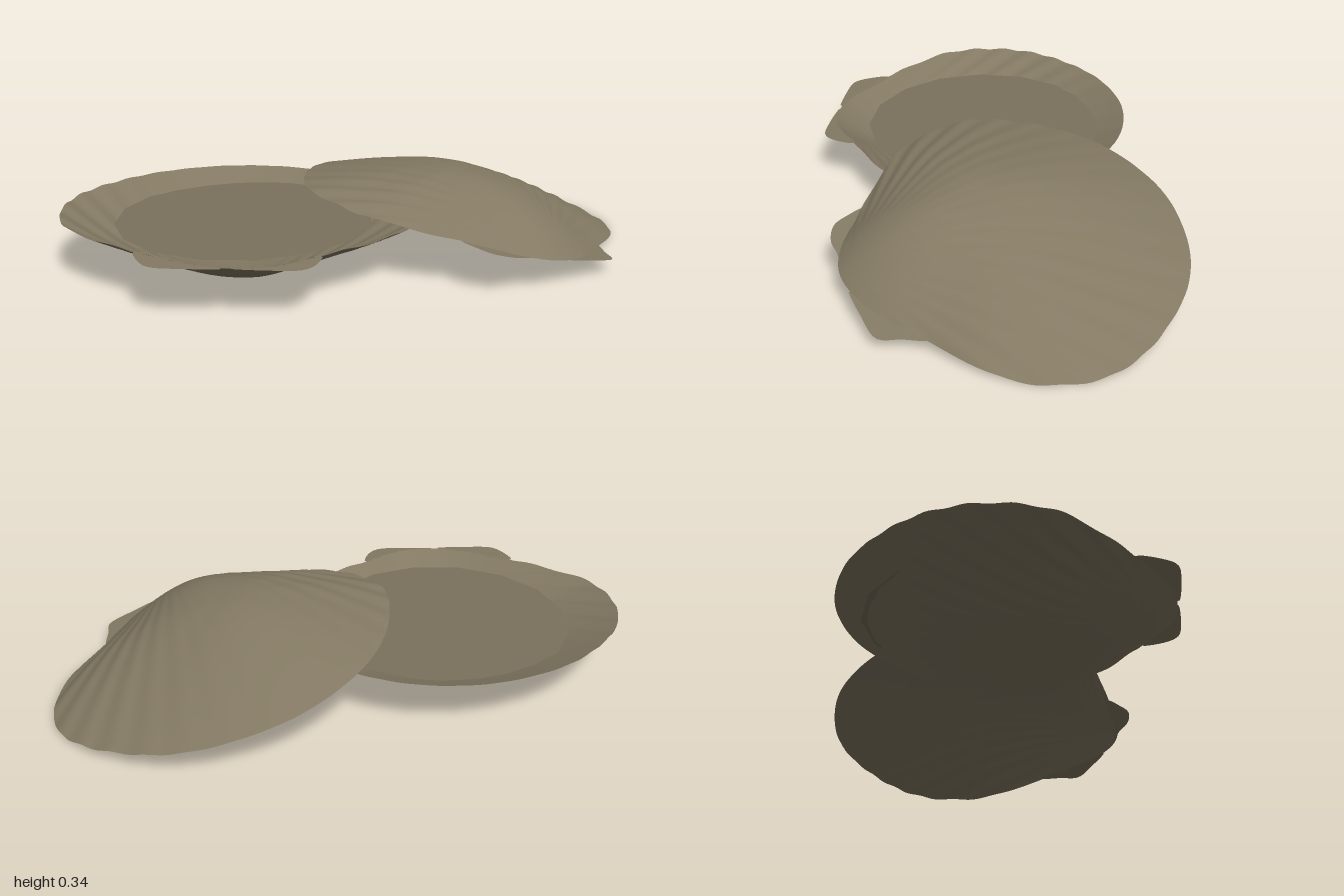
import * as THREE from 'three';

const SEGMENTS = 240, RINGS = 44;

// Smooth closed outline through a few [x, z] points
const outlineCurve = pts => new THREE.CatmullRomCurve3(
  pts.map(([x, z]) => new THREE.Vector3(x, 0, z)), true, 'centripetal');

// Height of the tilted rim plane [base, slope x, slope z]
const planeY = ([a, b, c], x, z) => a + b * x + c * z;

// Dome from concentric rings, with ribs fanning out from the hinge point
function valveGeometry({ outline, centre, hinge, plane, depth }) {
  const rim = outlineCurve(outline).getSpacedPoints(SEGMENTS);
  const [cx, cz] = centre, [hx, hz] = hinge;
  const axisLength = Math.hypot(hx - cx, hz - cz);
  const ax = (hx - cx) / axisLength, az = (hz - cz) / axisLength;
  const soft = r => (Math.sqrt(r * r + 0.03) - Math.sqrt(0.03)) / (Math.sqrt(1.03) - Math.sqrt(0.03));
  const pos = [], index = [];
  for (let i = 0; i <= RINGS; i++) {
    const r = i / RINGS;
    for (let j = 0; j < SEGMENTS; j++) {
      const dx = rim[j].x - cx, dz = rim[j].z - cz;
      const x = cx + dx * r, z = cz + dz * r;
      // steep towards the hinge, gentle towards the far lip
      const c = (dx * ax + dz * az) / Math.hypot(dx, dz);
      const power = 1.23 + 0.45 * c + 0.45 * c * c;
      const dome = depth * (1 - Math.pow(soft(r), power));
      // ribs are strongest on the flanks
      const ux = x - hx, uz = z - hz, d = Math.hypot(ux, uz);
      const phi = Math.atan2(ux * az - uz * ax, -(ux * ax + uz * az));
      const flank = 0.12 + 0.88 * THREE.MathUtils.smoothstep(Math.abs(phi), 0.15, 0.8);
      const fade = THREE.MathUtils.smoothstep(Math.PI - Math.abs(phi), 0.9, 1.6);
      const rib = 0.007 * Math.min(d, 0.5) * flank * fade * Math.cos(52 * phi);
      pos.push(x, planeY(plane, x, z) + dome + rib, z);
      if (i < RINGS) {
        const k = (j + 1) % SEGMENTS, a = i * SEGMENTS, b = a + SEGMENTS;
        if (i > 0) index.push(a + j, a + k, b + j);
        index.push(a + k, b + k, b + j);
      }
    }
  }
  // share one vertex at the middle
  for (let n = 0; n < index.length; n++) if (index[n] < SEGMENTS) index[n] = 0;
  const g = new THREE.BufferGeometry();
  g.setAttribute('position', new THREE.Float32BufferAttribute(pos, 3));
  g.setIndex(index);
  g.computeVertexNormals();
  return g;
}

// Flat ear beside the hinge, lying in the rim plane
function earGeometry(pts, plane) {
  const shape = new THREE.Shape(outlineCurve(pts).getSpacedPoints(40)
    .map(p => new THREE.Vector2(p.x, -p.z)));
  const g = new THREE.ShapeGeometry(shape).rotateX(-Math.PI / 2);
  const p = g.attributes.position;
  for (let i = 0; i < p.count; i++) p.setY(i, planeY(plane, p.getX(i), p.getZ(i)));
  g.computeVertexNormals();
  return g;
}

export function createModel() {
  const shell = new THREE.MeshStandardMaterial({ color: 0x837963, side: THREE.DoubleSide });
  shell.name = 'shell beige';
  const inner = new THREE.MeshStandardMaterial({ color: 0x7a715d, side: THREE.DoubleSide });
  inner.name = 'filling brown';

  const model = new THREE.Group();
  model.name = 'scallopShells';

  const valves = [
    {
      name: 'openShell', centre: [-0.33, 0.28], hinge: [-0.1, 0.79],
      plane: [0.197, -0.025, -0.007], depth: -0.172,
      outline: [[-0.33, -0.35], [-0.5, -0.32], [-0.7, -0.22], [-0.88, -0.03], [-0.97, 0.17],
        [-1, 0.38], [-0.95, 0.57], [-0.83, 0.72], [-0.7, 0.78], [-0.43, 0.835], [-0.22, 0.85],
        [-0.1, 0.83], [0.03, 0.76], [0.13, 0.6], [0.28, 0.31], [0.31, 0.12], [0.22, -0.1],
        [0.06, -0.25], [-0.13, -0.33]],
      ears: [
        [[-0.45, 0.83], [-0.39, 0.9], [-0.33, 0.93], [-0.23, 0.9], [-0.1, 0.835], [-0.22, 0.845]],
        [[-0.08, 0.825], [0.05, 0.78], [0.14, 0.73], [0.16, 0.67], [0.14, 0.58], [0.085, 0.68], [0.03, 0.755]],
      ],
    },
    {
      name: 'domedShell', centre: [0.4, -0.22], hinge: [0.84, 0.09],
      plane: [0.251, -0.178, 0.125], depth: 0.18,
      outline: [[0.42, -0.935], [0.25, -0.92], [0.08, -0.85], [-0.12, -0.67], [-0.23, -0.43],
        [-0.25, -0.22], [-0.2, 0], [-0.1, 0.18], [0.05, 0.27], [0.2, 0.31], [0.4, 0.28],
        [0.6, 0.23], [0.74, 0.19], [0.83, 0.13], [0.88, 0.05], [0.915, -0.08], [0.92, -0.3],
        [0.925, -0.54], [0.87, -0.71], [0.75, -0.85], [0.6, -0.915]],
      ears: [
        [[0.915, -0.3], [0.96, -0.22], [1, -0.15], [0.95, -0.05], [0.88, 0.05], [0.905, -0.1]],
        [[0.53, 0.24], [0.6, 0.27], [0.66, 0.28], [0.73, 0.24], [0.77, 0.18], [0.83, 0.12], [0.73, 0.18]],
      ],
    },
  ];

  for (const v of valves) {
    const group = new THREE.Group();
    group.name = v.name;
    const dome = new THREE.Mesh(valveGeometry(v), shell);
    dome.name = 'ribbedValve';
    group.add(dome);
    v.ears.forEach((pts, i) => {
      const ear = new THREE.Mesh(earGeometry(pts, v.plane), shell);
      ear.name = i ? 'rightEar' : 'leftEar';
      group.add(ear);
    });
    model.add(group);
  }

  // Flat filling inside the open shell
  const disc = new THREE.CircleGeometry(0.495, 16, Math.PI / 16).rotateX(-Math.PI / 2);
  const filling = new THREE.Mesh(disc, inner);
  filling.name = 'filling';
  filling.position.set(-0.34, 0.168, 0.245);
  model.getObjectByName('openShell').add(filling);

  return model;
}
